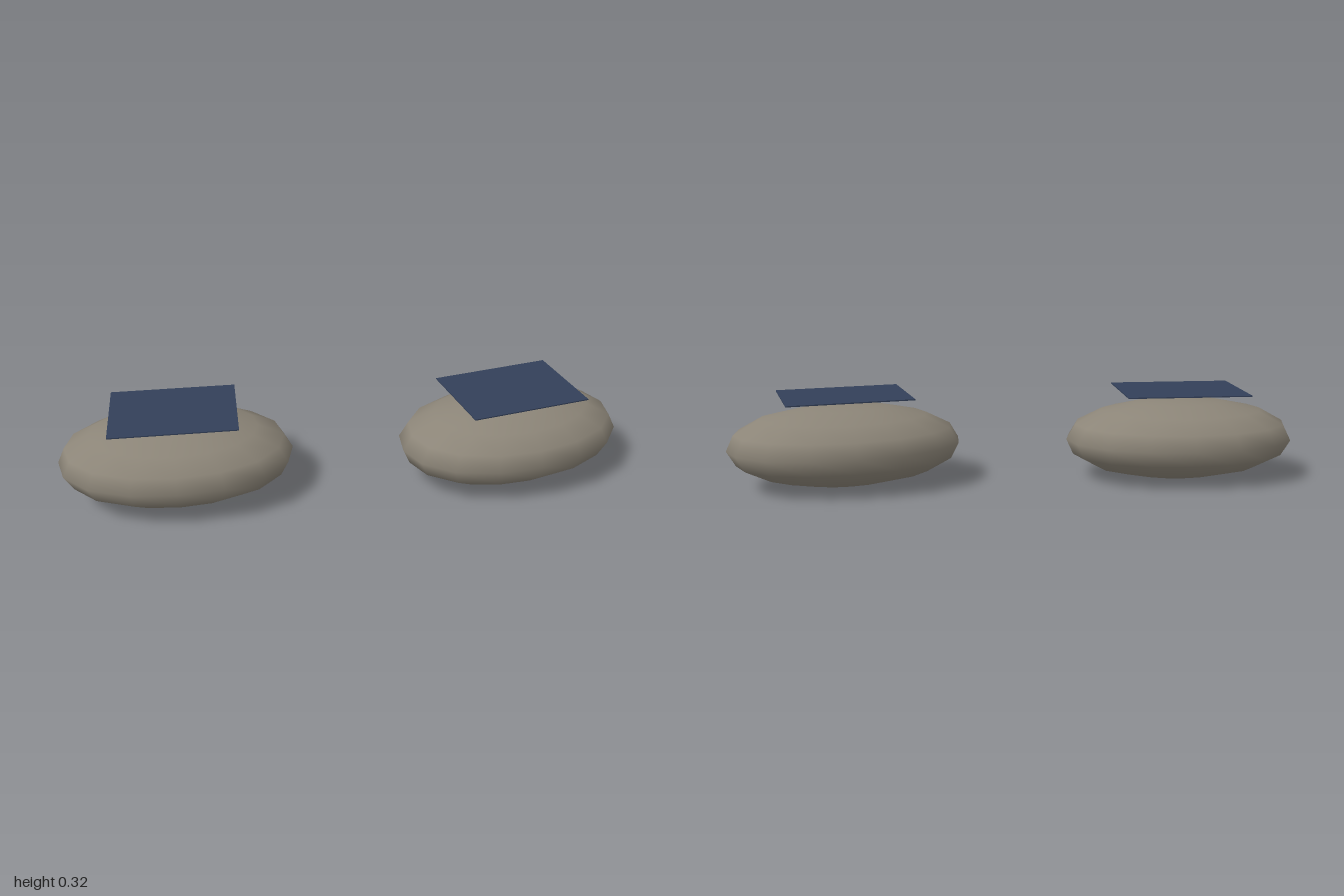
import * as THREE from 'three';
import { mergeVertices } from 'three/addons/utils/BufferGeometryUtils.js';

// Flattened pebble: a coarse sphere with gentle bulges, smooth shaded
function pebbleGeometry() {
  let g = new THREE.SphereGeometry(1, 16, 8);
  g.deleteAttribute('uv');
  g.deleteAttribute('normal');
  g = mergeVertices(g, 1e-4);
  const p = g.attributes.position;
  const v = new THREE.Vector3();
  for (let i = 0; i < p.count; i++) {
    v.fromBufferAttribute(p, i);
    const shoulder = Math.max(0, -2 * v.x * v.y) ** 2; // one fuller upper end
    const corners = (2 * v.x * v.z) ** 2; // squarer plan
    v.multiplyScalar(1 + 0.03 * shoulder + 0.03 * corners);
    p.setXYZ(i, v.x * 0.407, v.y * 0.14, v.z * 0.267);
  }
  g.computeVertexNormals();
  return g;
}

export function createModel() {
  const model = new THREE.Group();
  const stoneMat = new THREE.MeshStandardMaterial({ color: 0x8c8578 });
  stoneMat.name = 'stone grey';
  const panelMat = new THREE.MeshStandardMaterial({ color: 0x334059 });
  panelMat.name = 'slate blue';

  const stoneGeo = pebbleGeometry();
  const panelGeo = new THREE.BoxGeometry(0.434, 0.004, 0.325);

  // Two stones, each with a thin panel hovering above it
  const spots = [
    { name: 'rightStone', x: -0.594, turn: 0 },
    { name: 'leftStone', x: 0.594, turn: Math.PI + 0.209 },
  ];
  for (const { name, x, turn } of spots) {
    const group = new THREE.Group();
    group.name = name;
    group.position.x = x;
    group.rotation.y = turn;

    const stone = new THREE.Mesh(stoneGeo, stoneMat);
    stone.name = 'stone';
    stone.position.y = 0.141;

    const panel = new THREE.Mesh(panelGeo, panelMat);
    panel.name = 'panel';
    panel.position.y = 0.314;

    group.add(stone, panel);
    model.add(group);
  }
  return model;
}
